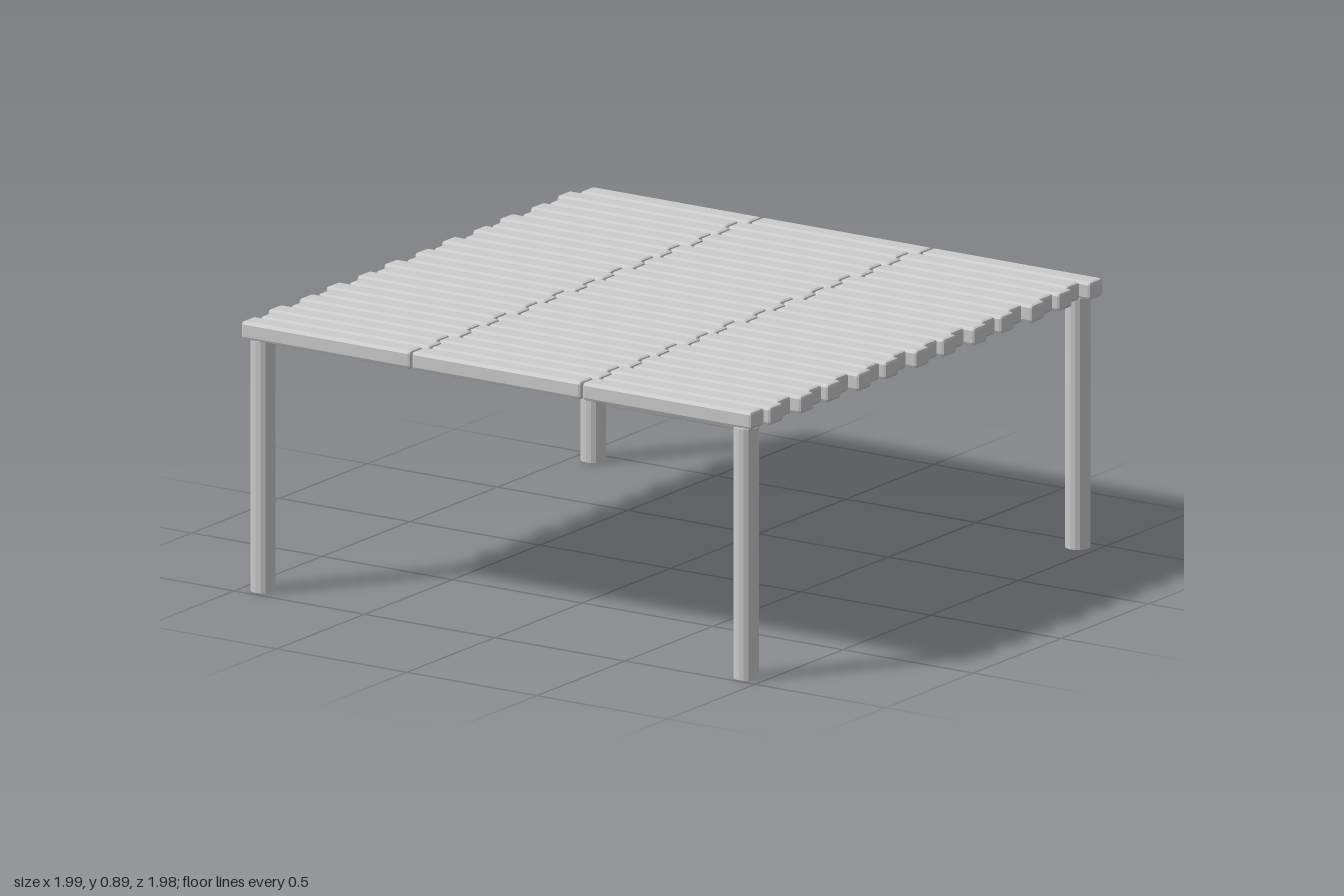
import * as THREE from 'three';
import { RoundedBoxGeometry } from 'three/addons/geometries/RoundedBoxGeometry.js';

export function createModel() {
  const group = new THREE.Group();
  const material = new THREE.MeshStandardMaterial({ color: 0xcccccc, flatShading: true });

  function add(name, geometry, x, y, z) {
    const mesh = new THREE.Mesh(geometry, material);
    mesh.name = name;
    mesh.position.set(x, y, z);
    group.add(mesh);
  }

  // Slatted top: 24 rows of three planks, staggered in a repeating pattern of four
  const rows = 24, firstZ = -0.95, lastZ = 0.942;
  const pitchX = 0.655, plankLength = 0.651;
  const stagger = [0.0165, -0.0165, 0.01, -0.0085];
  const plank = new RoundedBoxGeometry(plankLength, 0.06, 0.075, 1, 0.01);
  for (let r = 0; r < rows; r++) {
    const z = firstZ + (lastZ - firstZ) * r / (rows - 1);
    for (let c = -1; c <= 1; c++) add('plank', plank, c * pitchX + stagger[r % 4], 0.858, z);
  }

  // Round corner legs
  const legHeight = 0.83;
  const leg = new THREE.CylinderGeometry(0.041, 0.041, legHeight, 16);
  add('frontLeftLeg', leg, 0.93, legHeight / 2, 0.947);
  add('frontRightLeg', leg, -0.93, legHeight / 2, 0.94);
  add('backLeftLeg', leg, 0.93, legHeight / 2, -0.941);
  add('backRightLeg', leg, -0.93, legHeight / 2, -0.941);

  return group;
}
